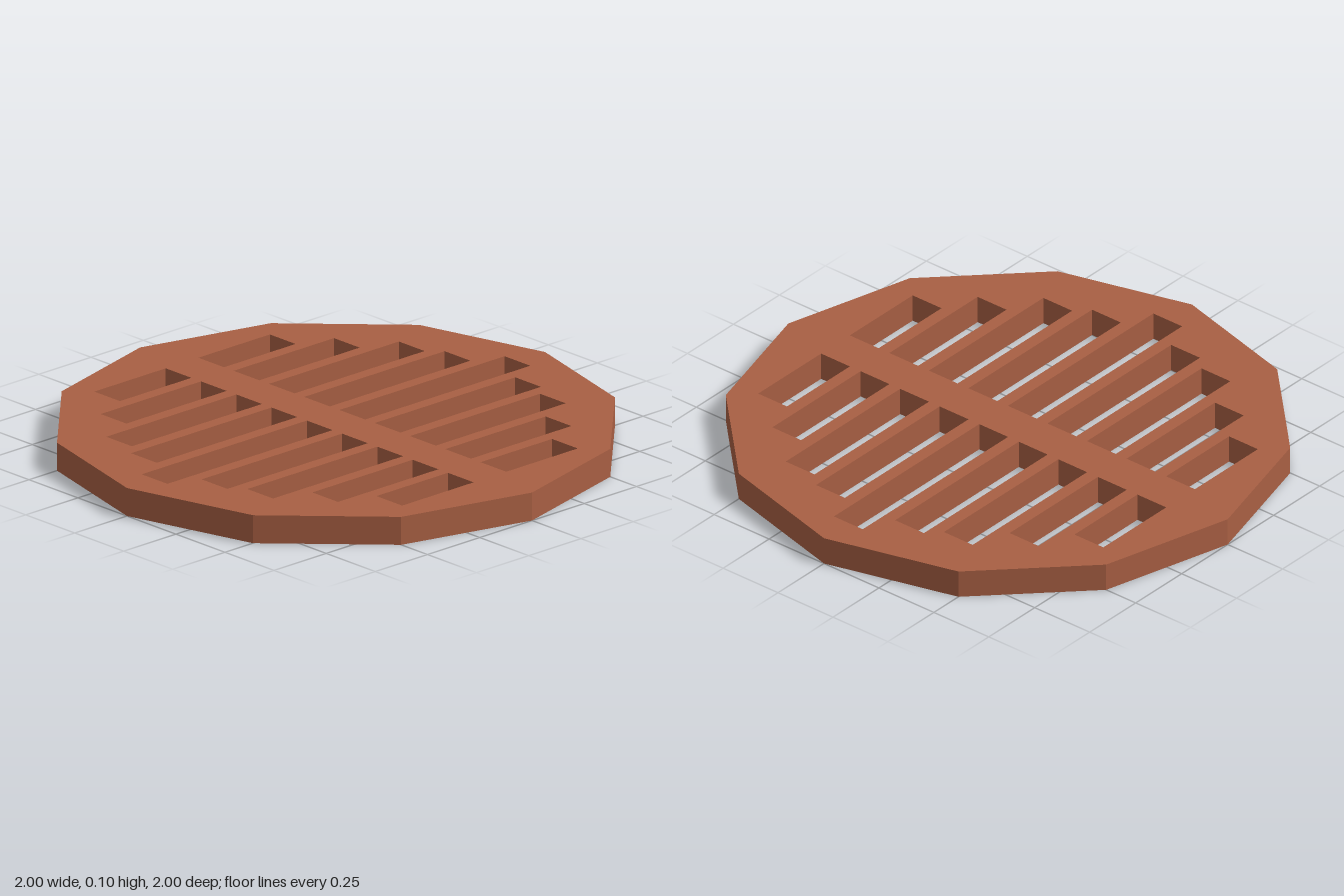
import * as THREE from 'three';

const HEIGHT = 0.104;
const SLOT_HALF = 0.0655; // half the slot width along z
const PITCH = 0.18; // spacing between slot rows
const INNER = 0.078; // half the width of the central spine
const REACH = [0.868, 0.75, 0.70, 0.558, 0.42]; // outer slot end, from the middle row outwards

// Rectangular slot, mirrored by side (+1 or -1)
function slot(side, outer, y) {
  const path = new THREE.Path();
  path.moveTo(side * INNER, y - SLOT_HALF);
  path.lineTo(side * outer, y - SLOT_HALF);
  path.lineTo(side * outer, y + SLOT_HALF);
  path.lineTo(side * INNER, y + SLOT_HALF);
  path.closePath();
  return path;
}

export function createModel() {
  const group = new THREE.Group();
  group.name = 'drainGrate';

  // Twelve-sided plate with a vertex on each axis
  const corners = Array.from({ length: 12 }, (_, i) => {
    const a = (i * Math.PI) / 6;
    return new THREE.Vector2(Math.cos(a), Math.sin(a));
  });
  const plate = new THREE.Shape(corners);

  // Nine rows of slots on both sides of the spine
  for (let row = -4; row <= 4; row++) {
    for (const side of [-1, 1]) {
      plate.holes.push(slot(side, REACH[Math.abs(row)], row * PITCH));
    }
  }

  const geometry = new THREE.ExtrudeGeometry(plate, { depth: HEIGHT, bevelEnabled: false });
  geometry.rotateX(-Math.PI / 2); // lay flat on the ground

  const material = new THREE.MeshStandardMaterial({ color: 0xa85f43, flatShading: true });
  const grate = new THREE.Mesh(geometry, material);
  grate.name = 'slottedPlate';
  group.add(grate);
  return group;
}
